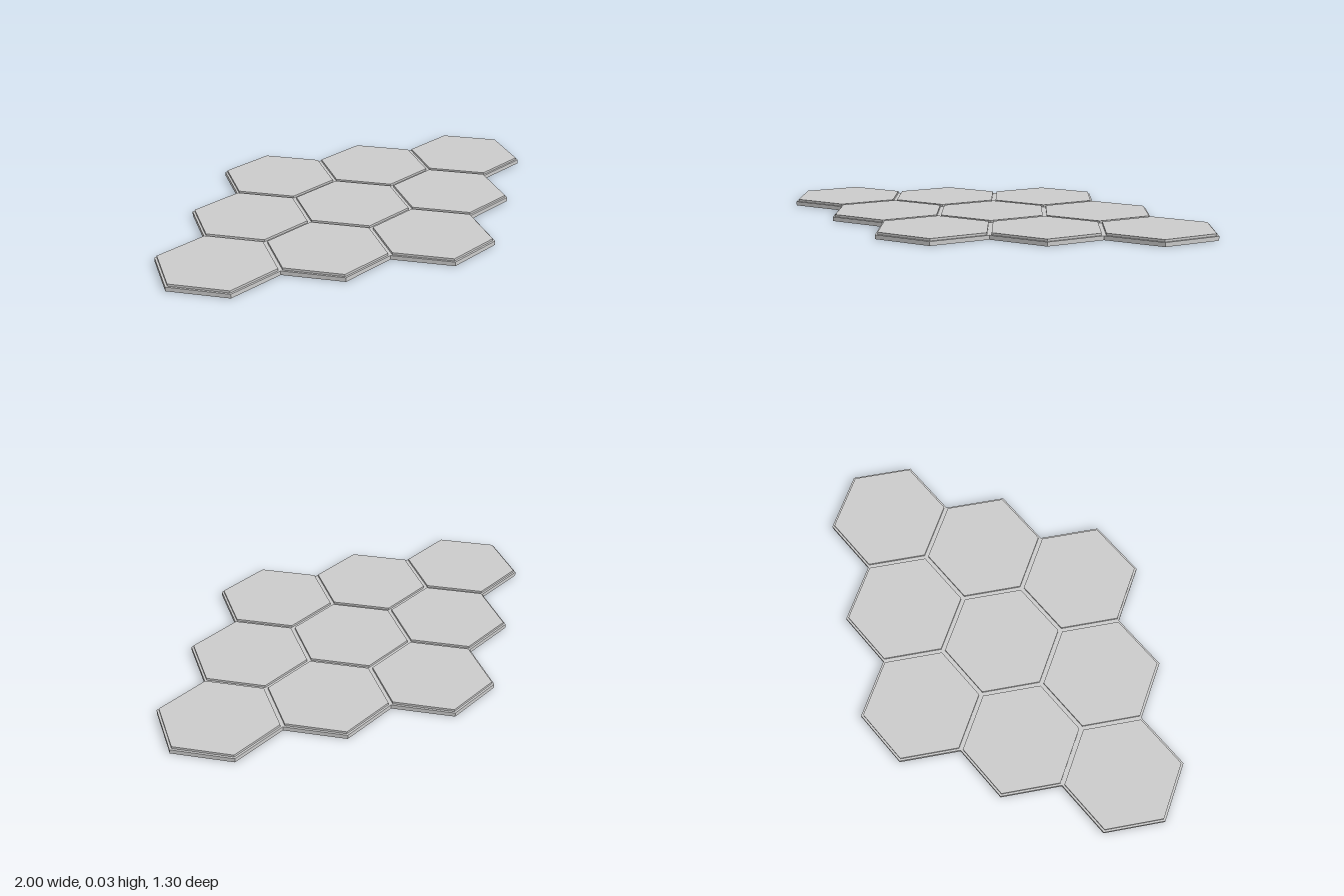
import * as THREE from 'three';

const R = 0.25;       // tile circumradius
const BASE_H = 0.017; // full-width lower slab
const TOP_H = 0.009;  // slightly inset upper slab

export function createModel() {
  const model = new THREE.Group();
  model.name = 'hexTileBoard';
  const material = new THREE.MeshStandardMaterial({ color: 0xcccccc, flatShading: true });

  // Hexagonal prism standing on y, with corners on the x axis
  const hexPrism = (radius, height, y) =>
    new THREE.CylinderGeometry(radius, radius, height, 6, 1, false, Math.PI / 6)
      .translate(0, y + height / 2, 0);

  const baseGeometry = hexPrism(R, BASE_H, 0);
  const topGeometry = hexPrism(R - 0.01, TOP_H, BASE_H);

  const addPart = (tile, name, geometry) => {
    const mesh = new THREE.Mesh(geometry, material);
    mesh.name = name;
    tile.add(mesh);
  };

  // 3 x 3 rhombus of touching tiles
  for (let i = -1; i <= 1; i++) {
    for (let j = -1; j <= 1; j++) {
      const tile = new THREE.Group();
      tile.name = `hexTile_${i + 1}_${j + 1}`;
      addPart(tile, 'tileBase', baseGeometry);
      addPart(tile, 'tileTop', topGeometry);
      tile.position.set(1.5 * R * (i + j), 0, (Math.sqrt(3) / 2) * R * (i - j));
      model.add(tile);
    }
  }
  return model;
}
